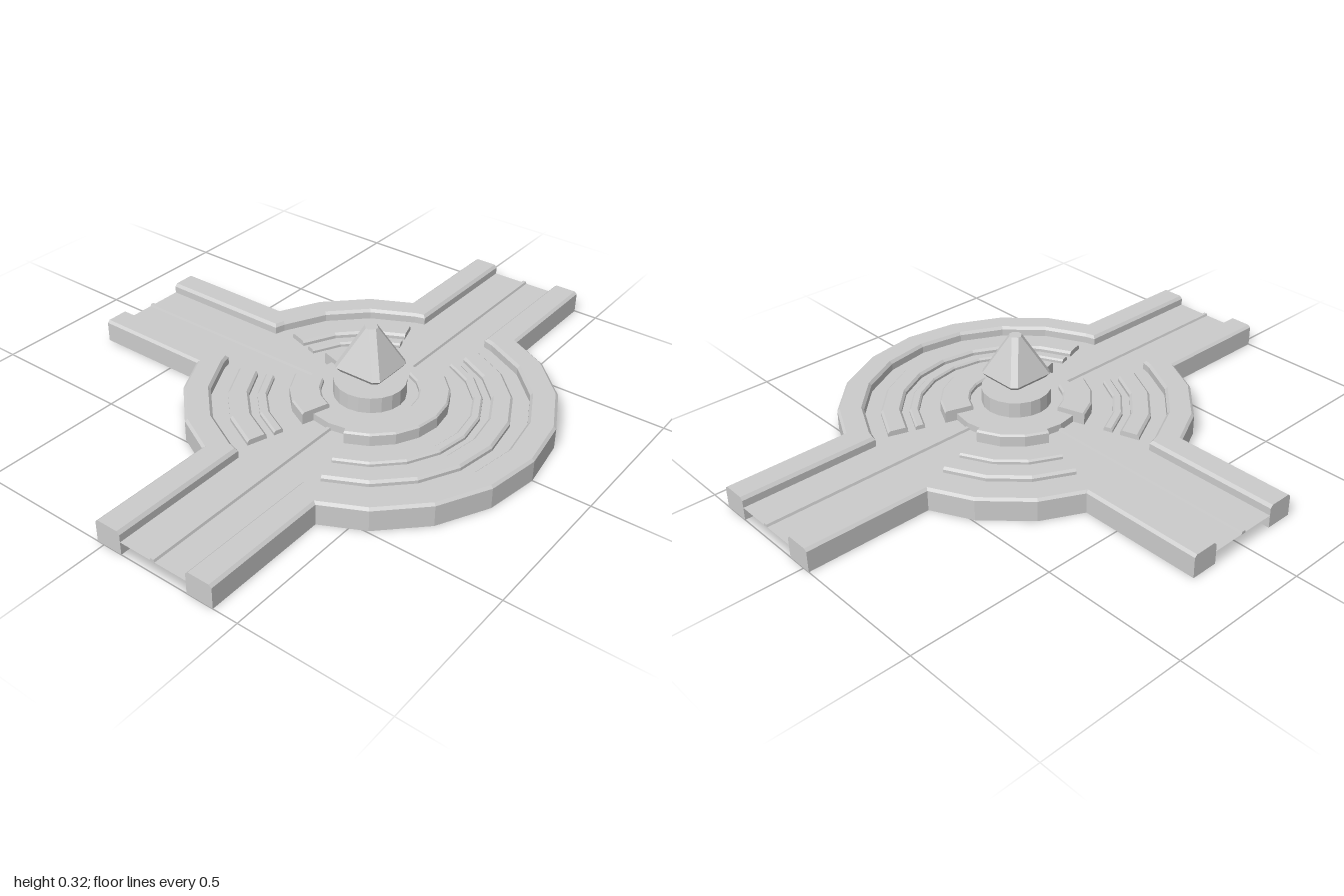
import * as THREE from 'three';

const mat = new THREE.MeshStandardMaterial({ color: 0xcccccc, flatShading: true });
const FLOOR = 0.045, UNDERSIDE = 0.015, OUT = 0.22, IN = 0.125, R_OUT = 0.61, R_IN = 0.52;

// Point [x, z] at an angle in degrees, counter-clockwise seen from above
const polar = (r, deg) => {
  const a = THREE.MathUtils.degToRad(deg);
  return [r * Math.cos(a), -r * Math.sin(a)];
};

// Angles of the 20-sided circle between two limits
const steps = (from, to) => {
  const list = [];
  for (let a = from; a <= to; a += 18) list.push(a);
  return list;
};

function geometryFrom(pos) {
  const g = new THREE.BufferGeometry();
  g.setAttribute('position', new THREE.Float32BufferAttribute(pos, 3));
  g.computeVertexNormals();
  return g;
}

// Sweep a profile of [t, y] between matched outer and inner paths (t = 0 outer, 1 inner)
function sweep(outer, inner, profile) {
  const rings = outer.map((o, i) => profile.map(([t, y]) =>
    [o[0] + (inner[i][0] - o[0]) * t, y, o[1] + (inner[i][1] - o[1]) * t]));
  const pos = [];
  const tri = (...pts) => pts.forEach((p) => pos.push(...p));
  const n = profile.length;
  for (let i = 0; i < rings.length - 1; i++) {
    for (let j = 0; j < n; j++) {
      const k = (j + 1) % n;
      const a = rings[i][j], b = rings[i][k], c = rings[i + 1][j], d = rings[i + 1][k];
      tri(a, c, b);
      tri(b, c, d);
    }
  }
  // End caps
  const s = rings[0], e = rings[rings.length - 1];
  for (let j = 1; j < n - 1; j++) {
    tri(s[0], s[j], s[j + 1]);
    tri(e[0], e[j + 1], e[j]);
  }
  return geometryFrom(pos);
}

// Raised arc with softened top edges
function arc(r0, r1, from, to, top, bevel) {
  const angles = steps(from, to);
  const t = bevel / (r1 - r0);
  const profile = [[0, FLOOR - 0.003], [0, top - bevel], [t, top], [1 - t, top], [1, top - bevel], [1, FLOOR - 0.003]];
  return sweep(angles.map((a) => polar(r1, a)), angles.map((a) => polar(r0, a)), profile);
}

export function createModel() {
  const model = new THREE.Group();
  model.name = 'roundJunction';
  model.position.x = 0.194;
  const add = (name, geometry) => {
    const mesh = new THREE.Mesh(geometry, mat);
    mesh.name = name;
    model.add(mesh);
    return mesh;
  };

  // Curbs: along one arm, round the circle, out along the next arm
  const joinOut = 0.564, joinIn = 0.505;
  const sectors = [
    { from: -72, to: 72, start: [1, 1, 'z'], end: [1, -1, 'z'] },
    { from: 108, to: 162, start: [-1, -1, 'z'], end: [-1, -1, 'x'] },
    { from: 198, to: 252, start: [-1, 1, 'x'], end: [-1, 1, 'z'] },
  ];
  // Arm points given as distance along the arm and half width
  const armPoint = ([sx, sz, axis], along, half) =>
    axis === 'z' ? [sx * half, sz * along] : [sx * along, sz * half];
  const tip = (s) => (s[2] === 'z' ? 1 : 0.997);
  const curbProfile = [[0, 0], [0, 0.072], [0.1, 0.08], [0.9, 0.08], [1, 0.07], [1, 0]];
  const floorLine = [];
  for (const { from, to, start, end } of sectors) {
    const angles = steps(from, to);
    const outer = angles.map((a) => polar(R_OUT, a));
    const inner = angles.map((a) => polar(R_IN, a));
    outer[0] = armPoint(start, joinOut, OUT);
    outer[outer.length - 1] = armPoint(end, joinOut, OUT);
    outer.unshift(armPoint(start, tip(start), OUT), armPoint(start, joinOut, OUT));
    outer.push(armPoint(end, joinOut, OUT), armPoint(end, tip(end), OUT));
    inner.unshift(armPoint(start, tip(start), IN), armPoint(start, joinIn, IN));
    inner.push(armPoint(end, joinIn, IN), armPoint(end, tip(end), IN));
    add('curb', sweep(outer, inner, curbProfile));
    floorLine.push(...inner);
  }

  // Floor and underside sheets filling the space between the curbs
  const sheet = (name, y, facing) => {
    const shape = new THREE.Shape(floorLine.map(([x, z]) => new THREE.Vector2(x, -facing * z)));
    const mesh = add(name, new THREE.ShapeGeometry(shape));
    mesh.rotation.x = -facing * Math.PI / 2;
    mesh.position.y = y;
  };
  sheet('floor', FLOOR, 1);
  sheet('underside', UNDERSIDE, -1);

  // Narrow bevelled ridge down the middle of each arm, given by its end points
  const ridge = ([x0, z0], [x1, z1]) => {
    const dir = new THREE.Vector2(x1 - x0, z1 - z0).normalize().multiplyScalar(0.01);
    const side = (s) => [[x0 - s * dir.y, z0 + s * dir.x], [x1 - s * dir.y, z1 + s * dir.x]];
    add('armRidge', sweep(side(1), side(-1), [[0, FLOOR - 0.002], [0.2, 0.053], [0.8, 0.053], [1, FLOOR - 0.002]]));
  };
  ridge([0, 1], [0, 0.21]);
  ridge([0, -1], [0, -0.21]);
  ridge([-0.997, 0], [-0.21, 0]);

  // Concentric raised arcs and the broken ring around the pedestal
  for (const { from, to } of sectors) {
    add('outerArc', arc(0.395, 0.465, from, to, 0.064, 0.008));
    add('innerArc', arc(0.335, 0.368, from, to, 0.06, 0.006));
    add('pedestalRing', arc(0.16, 0.262, from, to, 0.088, 0.006));
  }

  // Central disc and pedestal
  add('baseDisc', new THREE.CylinderGeometry(0.22, 0.22, 0.025, 20)).position.y = FLOOR + 0.0125;
  add('pedestal', new THREE.CylinderGeometry(0.12, 0.12, 0.08, 20)).position.y = 0.085;

  // Floating crystal: square pyramid with cut corners, [half size, flat half width, height]
  const levels = [[0.078, 0.062, 0.165], [0.089, 0.072, 0.18], [0.022, 0.006, 0.32]];
  const rows = levels.map(([h, f, y]) =>
    [[h, f], [f, h], [-f, h], [-h, f], [-h, -f], [-f, -h], [f, -h], [h, -f]].map(([x, z]) => [x, y, z]));
  const pos = [];
  for (let j = 0; j < 8; j++) {
    const k = (j + 1) % 8;
    for (let i = 0; i < rows.length - 1; i++) {
      const lo = rows[i], hi = rows[i + 1];
      pos.push(...lo[j], ...hi[j], ...lo[k], ...lo[k], ...hi[j], ...hi[k]);
    }
    pos.push(0, 0.32, 0, ...rows[2][k], ...rows[2][j]);
    pos.push(0, 0.165, 0, ...rows[0][j], ...rows[0][k]);
  }
  add('floatingCrystal', geometryFrom(pos));

  const root = new THREE.Group();
  root.name = 'junction';
  root.add(model);
  return root;
}
